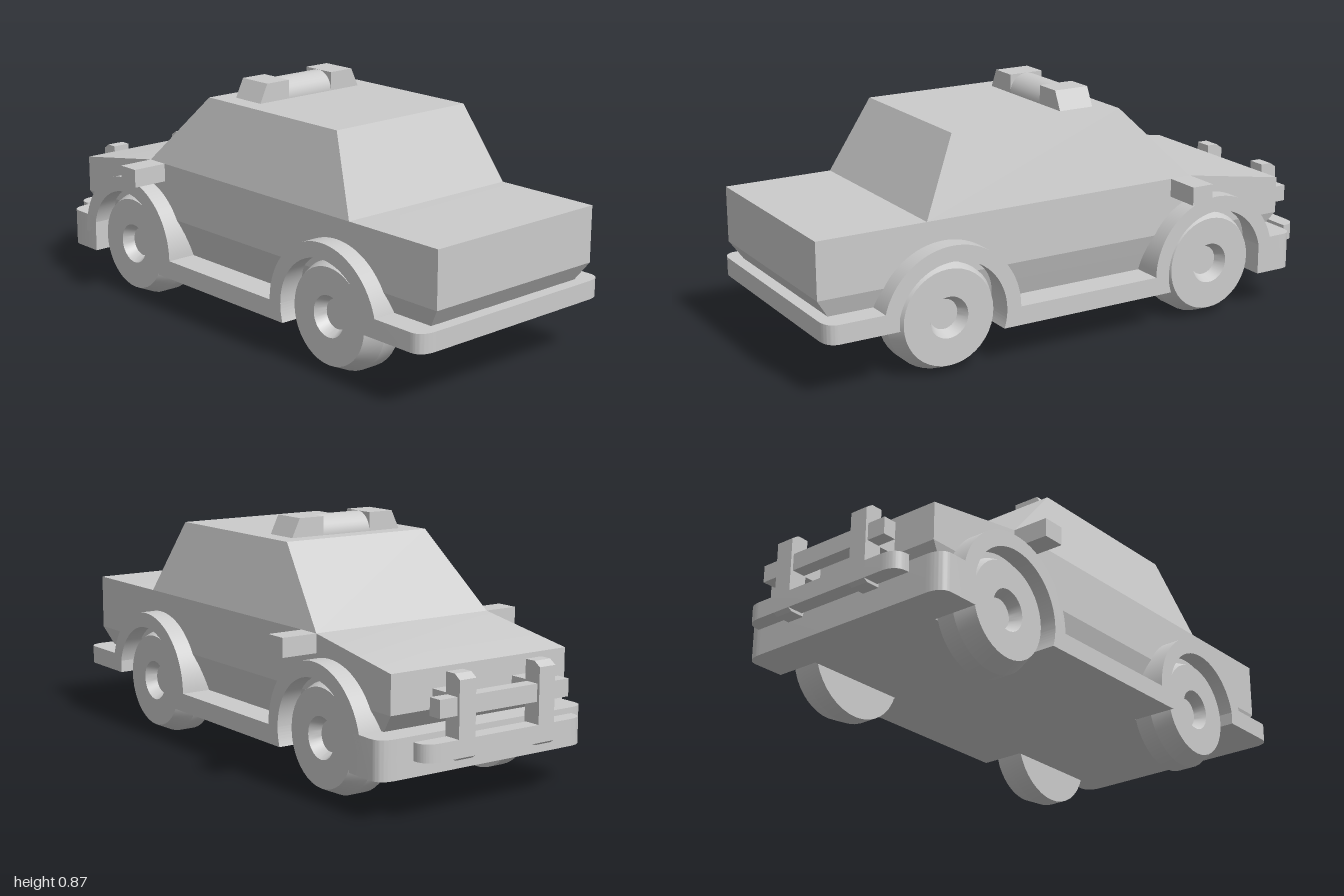
import * as THREE from 'three';
import { toCreasedNormals } from 'three/addons/utils/BufferGeometryUtils.js';

const material = new THREE.MeshStandardMaterial({ color: 0xcccccc });

function part(parent, name, geometry, x = 0, y = 0, z = 0) {
  const mesh = new THREE.Mesh(geometry, material);
  mesh.name = name;
  mesh.position.set(x, y, z);
  parent.add(mesh);
  return mesh;
}

const box = (x0, x1, y0, y1, z0, z1) =>
  new THREE.BoxGeometry(x1 - x0, y1 - y0, z1 - z0)
    .translate((x0 + x1) / 2, (y0 + y1) / 2, (z0 + z1) / 2);

const polygon = (points) => new THREE.Shape(points.map((p) => new THREE.Vector2(...p)));

const extrude = (shape, depth) =>
  new THREE.ExtrudeGeometry(shape, { depth, bevelEnabled: false, curveSegments: 20 });

// Side profile in (z, y), extruded from x0 to x1
const sideExtrude = (shape, x0, x1) =>
  toCreasedNormals(extrude(shape, x1 - x0).rotateY(-Math.PI / 2).translate(x1, 0, 0), 0.5);

// Horizontal bar with both outer corners rounded; sign picks the rounded end
function roundedBar(half, zIn, zOut, y0, y1, rx, rz) {
  const s = Math.sign(zOut);
  const shape = new THREE.Shape();
  shape.moveTo(-half, zIn);
  shape.lineTo(half, zIn);
  shape.lineTo(half, zOut - s * rz);
  shape.quadraticCurveTo(half, zOut, half - rx, zOut);
  shape.lineTo(-half + rx, zOut);
  shape.quadraticCurveTo(-half, zOut, -half, zOut - s * rz);
  return toCreasedNormals(extrude(shape, y1 - y0).rotateX(Math.PI / 2).translate(0, y1, 0), 0.5);
}

// Solid through rectangular sections, from bottom to top: [y, halfWidth, zFront, zBack]
function loft(sections) {
  const rings = sections.map(([y, w, a, b]) => [[w, y, a], [w, y, b], [-w, y, b], [-w, y, a]]);
  const pos = [];
  const quad = (a, b, c, d) => pos.push(...a, ...b, ...c, ...a, ...c, ...d);
  for (let i = 0; i < rings.length - 1; i++) {
    for (let k = 0; k < 4; k++) {
      const n = (k + 1) % 4;
      quad(rings[i][k], rings[i][n], rings[i + 1][n], rings[i + 1][k]);
    }
  }
  quad(...rings[rings.length - 1]);
  quad(...[...rings[0]].reverse());
  const geometry = new THREE.BufferGeometry();
  geometry.setAttribute('position', new THREE.Float32BufferAttribute(pos, 3));
  geometry.computeVertexNormals();
  return geometry;
}

const AXLE_Z = 0.54;
const AXLE_Y = 0.2;

// Tyre with chamfered outer tread and a recessed hub
function wheelGeometry() {
  const profile = [[0, 0.267], [0.2, 0.267], [0.2, 0.333], [0.17, 0.4], [0.073, 0.4], [0.053, 0.36], [0, 0.36]];
  const lathe = new THREE.LatheGeometry(profile.map((p) => new THREE.Vector2(...p)), 40);
  return toCreasedNormals(lathe.rotateZ(-Math.PI / 2), 0.35);
}

function archShape(z) {
  const shape = new THREE.Shape();
  shape.absarc(z, AXLE_Y, 0.26, 0, Math.PI, false);
  shape.absarc(z, AXLE_Y, 0.205, Math.PI, 0, true);
  return shape;
}

export function createModel() {
  const car = new THREE.Group();
  car.name = 'car';

  // Body: upper hull, tapered underside and cabin
  part(car, 'upperBody', sideExtrude(polygon([
    [1, 0.333], [1, 0.533], [-0.467, 0.533], [-0.867, 0.467], [-0.867, 0.333],
  ]), -0.367, 0.367));
  part(car, 'lowerBody', loft([
    [0.2, 0.322, 0.75, -0.75],
    [0.267, 0.345, 0.955, -0.805],
    [0.333, 0.367, 1, -0.867],
  ]));
  part(car, 'cabin', loft([
    [0.533, 0.367, 0.6, -0.467],
    [0.8, 0.3, 0.467, -0.2],
  ]));

  // Floor and bumpers
  part(car, 'floor', box(-0.267, 0.267, 0.133, 0.25, -0.76, 0.74));
  part(car, 'trunkBumper', roundedBar(0.433, 0.74, 1, 0.2, 0.267, 0.067, 0.05));
  part(car, 'hoodBumper', roundedBar(0.433, -0.74, -0.9, 0.133, 0.267, 0.067, 0.05));

  // Roof lamp: half drum between two wedge-ended blocks
  const lamp = new THREE.Group();
  lamp.name = 'roofLamp';
  car.add(lamp);
  const drum = new THREE.CylinderGeometry(0.067, 0.067, 0.2, 32).rotateZ(Math.PI / 2);
  part(lamp, 'lampDrum', drum, 0, 0.8, -0.067);
  const lampEnd = polygon([[0.1, 0.79], [0.237, 0.79], [0.2, 0.867], [0.1, 0.867]]);

  // Bull bar cross bars
  const bullBar = new THREE.Group();
  bullBar.name = 'bullBar';
  car.add(bullBar);
  part(bullBar, 'lowerBar', roundedBar(0.333, -0.94, -1, 0.2, 0.26, 0.063, 0.055));
  part(bullBar, 'upperBar', box(-0.27, 0.27, 0.335, 0.395, -0.99, -0.94));
  const upright = polygon([
    [-0.933, 0.19], [-0.933, 0.467], [-0.975, 0.467], [-1, 0.45], [-1, 0.2], [-0.985, 0.19],
  ]);

  // Skirt between the arches, ending on the wheel circles
  const skirt = new THREE.Shape();
  const a = Math.asin(0.067 / 0.205);
  skirt.moveTo(-0.335, 0.2);
  skirt.absarc(-AXLE_Z, AXLE_Y, 0.205, 0, -a, true);
  skirt.absarc(AXLE_Z, AXLE_Y, 0.205, Math.PI + a, Math.PI, true);

  for (const s of [1, -1]) {
    const side = s > 0 ? 'left' : 'right';
    const range = (x0, x1) => (s > 0 ? [x0, x1] : [-x1, -x0]);

    part(car, side + 'Skirt', sideExtrude(skirt, ...range(0.26, 0.433)));
    part(car, side + 'Mirror', box(...range(0.34, 0.5), 0.467, 0.533, -0.467, -0.383));
    for (const z of [AXLE_Z, -AXLE_Z]) {
      const end = z > 0 ? 'Trunk' : 'Hood';
      part(car, side + end + 'Arch', sideExtrude(archShape(z), ...range(0.267, 0.433)));
      const wheel = part(car, side + end + 'Wheel', wheelGeometry(), 0, AXLE_Y, z);
      if (s < 0) wheel.rotation.y = Math.PI;
    }

    part(bullBar, side + 'Upright', sideExtrude(upright, ...range(0.133, 0.2)));
    part(bullBar, side + 'Bracket', box(...range(0.133, 0.2), 0.333, 0.4, -0.94, -0.86));

    const block = part(lamp, side + 'LampEnd', extrude(lampEnd, 0.133), 0, 0, s > 0 ? -0.133 : 0);
    if (s < 0) block.rotation.y = Math.PI;
  }
  return car;
}
